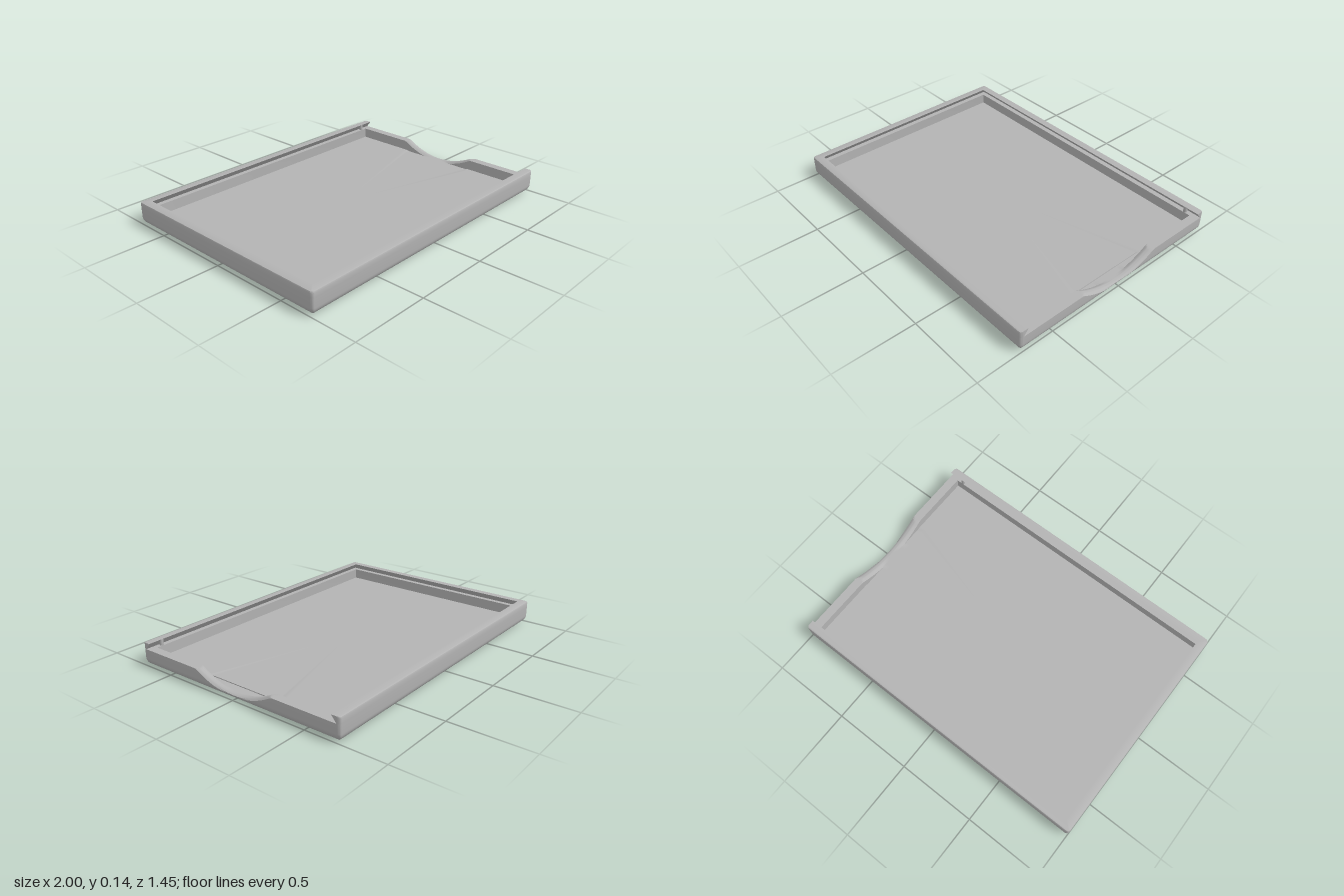
import * as THREE from 'three';
import { toCreasedNormals } from 'three/addons/utils/BufferGeometryUtils.js';

const HX = 1, HZ = 0.725;            // half length and half width
const TOP = 0.145, LEDGE = 0.105;    // rim top and lid ledge
const FLOOR = 0.04, RECESS = 0.035;  // cavity floor and shallow slot by the scoop
const WALL = 0.054, CORNER = 0.02, BELLY = 0.05;

// Rounded rectangle inset by d, anticlockwise from the back right corner;
// the last stretch runs along the right side and is finely divided.
function ring(d, xRight = HX - d) {
  const r = Math.max(CORNER - d, 0.001), z = HZ - d, pts = [];
  const corners = [[xRight, -z, 0], [d - HX, -z, 1], [d - HX, z, 2], [xRight, z, 3]];
  for (const [cx, cz, k] of corners) {
    for (let i = 0; i <= 5; i++) {
      const a = (k + i / 5) * Math.PI / 2;
      pts.push({
        x: cx - Math.sign(cx) * r + r * Math.cos(a),
        z: cz - Math.sign(cz) * r - r * Math.sin(a),
        right: false,
      });
    }
  }
  for (let i = 0; i <= 48; i++) pts.push({ x: xRight, z: 0.3 - i * 0.0125, right: true });
  return pts;
}

// Joins successive rows of [x, y, z] points with quads
function skin(rows, closed) {
  const pos = [], n = rows[0].length, index = [];
  rows.forEach(row => row.forEach(p => pos.push(...p)));
  for (let j = 0; j < rows.length - 1; j++) {
    for (let i = 0; i < (closed ? n : n - 1); i++) {
      const k = (i + 1) % n, a = j * n + i, b = j * n + k, c = a + n, e = b + n;
      index.push(a, b, c, b, e, c);
    }
  }
  const g = new THREE.BufferGeometry();
  g.setAttribute('position', new THREE.Float32BufferAttribute(pos, 3));
  g.setIndex(index);
  return toCreasedNormals(g, 0.5);
}

// Height of the right wall at z, dipping into the saddle-shaped finger scoop
function wallTop(p, d) {
  if (!p.right) return LEDGE;
  const mid = WALL / 2;
  const drop = 0.012 * ((d - mid) / mid) ** 2;
  const y = Math.min(LEDGE, 0.035 + 0.07 * (p.z / 0.26) ** 2 - drop);
  return d > mid ? Math.max(y, RECESS) : y;
}

function trayGeometry() {
  const rows = [];
  const centre = y => ring(0).map(() => [0, y, 0]);
  const bellyInset = y => (y < BELLY ? BELLY - Math.sqrt(BELLY ** 2 - (BELLY - y) ** 2) : 0);
  rows.push(centre(0));
  // Rounded underside and outer wall
  const heights = [];
  for (let i = 0; i <= 8; i++) heights.push(BELLY * (1 - Math.cos(i * Math.PI / 16)));
  heights.push(LEDGE);
  for (const h of heights) {
    const inset = bellyInset(h), base = ring(0);
    rows.push(ring(inset).map((p, i) => {
      const y = Math.min(h, wallTop(base[i], 0));
      return [p.right ? HX - bellyInset(y) : p.x, y, p.z];
    }));
  }
  // Ledge and scoop surface across the wall
  for (let i = 1; i <= 8; i++) {
    const d = WALL * i / 8;
    rows.push(ring(d).map(p => [p.x, wallTop(p, d), p.z]));
  }
  // Inner wall foot, shallow slot and floor
  const foot = p => (p.right && Math.abs(p.z) < 0.255 ? RECESS : FLOOR);
  rows.push(ring(WALL).map(p => [p.x, foot(p), p.z]));
  rows.push(ring(0.09).map(p => [p.x, foot(p), p.z]));
  rows.push(ring(0.09).map(p => [p.x, FLOOR, p.z]));
  rows.push(centre(FLOOR));
  return skin(rows, true);
}

// Undercut rim on three sides, open at the right for a sliding lid
function rimGeometry() {
  const profile = [[0, LEDGE], [0, 0.135], [0.003, 0.142], [0.01, TOP], [WALL, TOP], [0.022, LEDGE]];
  return skin(profile.map(([d, y]) =>
    ring(d, HX).filter(p => !p.right).map(p => [p.x, y, p.z])), false);
}

// Flat end of a rim arm
function rimEnd(side) {
  const s = new THREE.Shape();
  s.moveTo(HZ - CORNER, LEDGE);
  s.lineTo(HZ - CORNER, TOP);
  s.lineTo(HZ - WALL, TOP);
  s.lineTo(HZ - 0.022, LEDGE);
  const g = new THREE.ShapeGeometry(s);
  g.rotateY(side > 0 ? -Math.PI / 2 : Math.PI / 2);
  g.translate(HX, 0, 0);
  return g;
}

export function createModel() {
  const group = new THREE.Group();
  group.name = 'slidingLidTray';
  const grey = new THREE.MeshStandardMaterial({ color: 0xb3b3b3, side: THREE.DoubleSide });
  grey.name = 'grey';
  const add = (name, geometry) => {
    const mesh = new THREE.Mesh(geometry, grey);
    mesh.name = name;
    group.add(mesh);
    return mesh;
  };

  add('tray', trayGeometry());
  add('grooveRim', rimGeometry());

  // Rim ends and small lid catches, mirrored front to back
  for (const side of [-1, 1]) {
    const label = side > 0 ? 'front' : 'back';
    add(label + 'RimEnd', rimEnd(side));
    const pin = add(label + 'LidCatch', new THREE.CylinderGeometry(0.012, 0.012, TOP - LEDGE, 16));
    pin.position.set(0.905, (TOP + LEDGE) / 2, side * 0.682);
  }
  return group;
}
